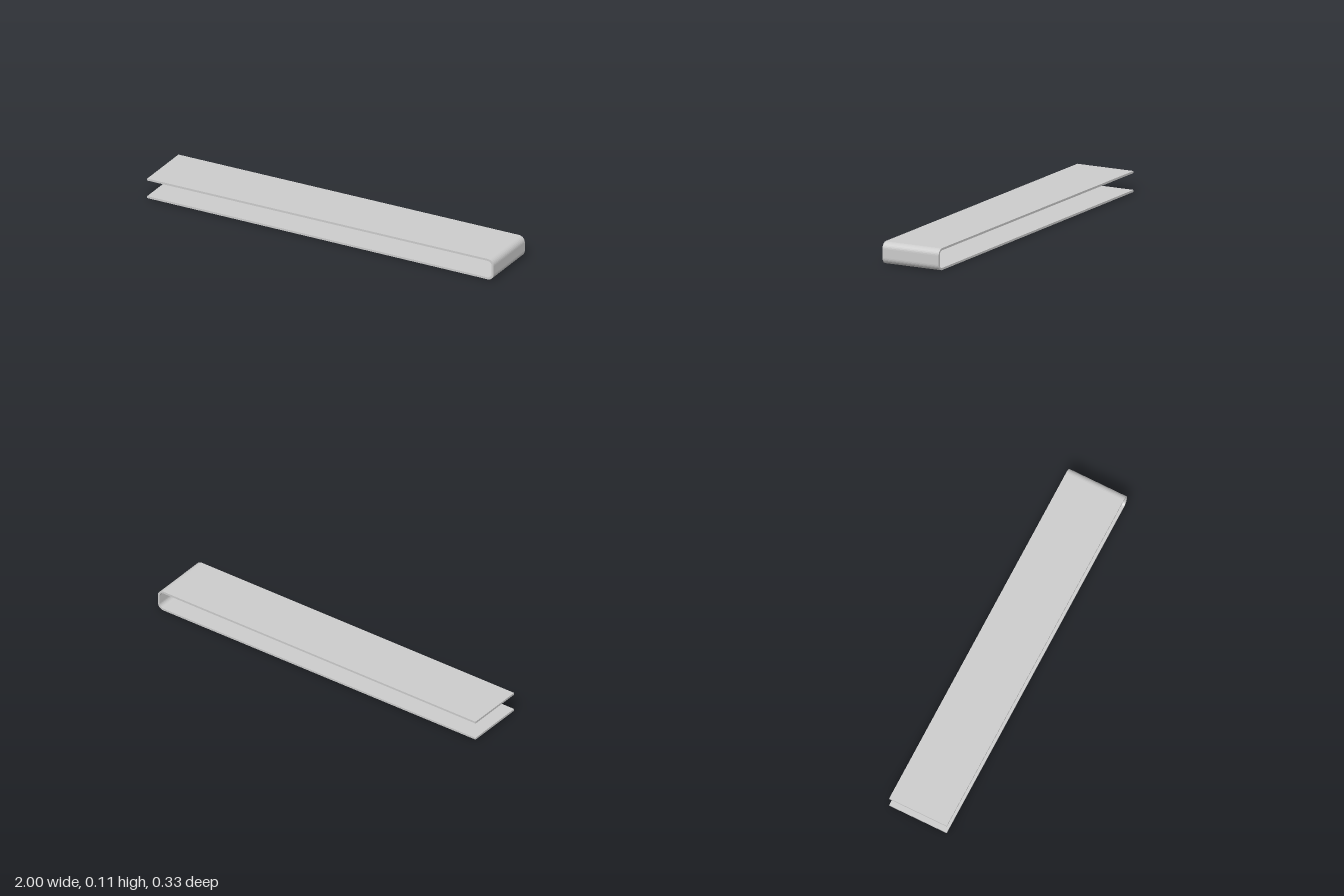
import * as THREE from 'three';

const WIDTH = 0.326, THICK = 0.011, HEIGHT = 0.114, RADIUS = 0.034;
const LIFT = 0.005; // the lower leg rises slightly towards its free end

export function createModel() {
  const group = new THREE.Group();
  const material = new THREE.MeshStandardMaterial({ color: 0xcccccc });

  // Side profile of the bent strip: outer outline, then back along the inside
  const s = new THREE.Shape();
  const r = RADIUS - THICK, c = 1 - RADIUS;
  s.moveTo(-1, LIFT);
  s.lineTo(c, 0);
  s.absarc(c, RADIUS, RADIUS, -Math.PI / 2, 0, false);
  s.absarc(c, HEIGHT - RADIUS, RADIUS, 0, Math.PI / 2, false);
  s.lineTo(-1, HEIGHT);
  s.lineTo(-1, HEIGHT - THICK);
  s.absarc(c, HEIGHT - RADIUS, r, Math.PI / 2, 0, true);
  s.absarc(c, RADIUS, r, 0, -Math.PI / 2, true);
  s.lineTo(-1, LIFT + THICK);
  s.closePath();

  const geometry = new THREE.ExtrudeGeometry(s, { depth: WIDTH, bevelEnabled: false, curveSegments: 4 });
  geometry.translate(0, 0, -WIDTH / 2);
  const strip = new THREE.Mesh(geometry, material);
  strip.name = 'bentStrip';
  group.add(strip);
  return group;
}
